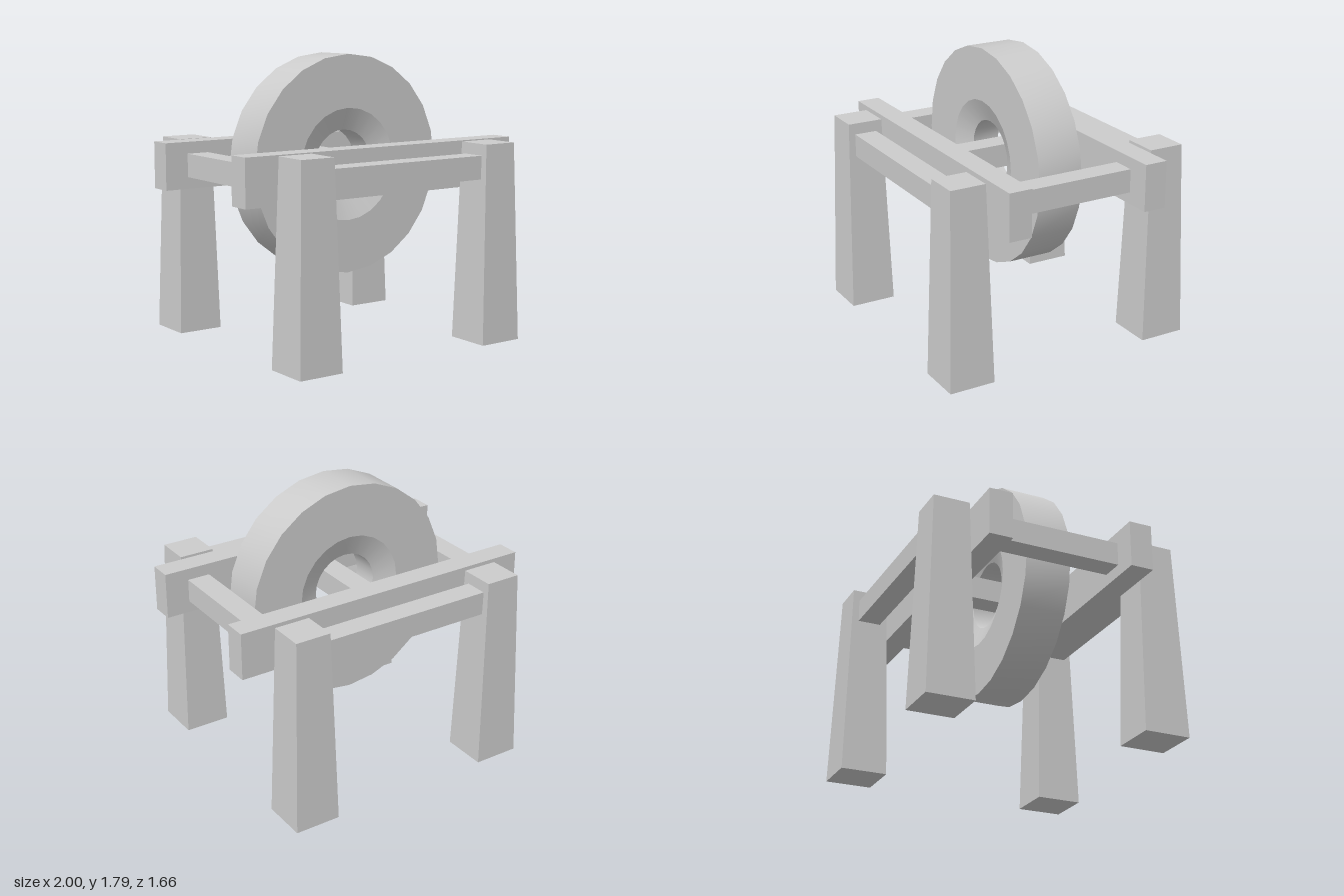
import * as THREE from 'three';
import { toCreasedNormals } from 'three/addons/utils/BufferGeometryUtils.js';

const material = new THREE.MeshStandardMaterial({ color: 0xcccccc });

export function createModel() {
  const model = new THREE.Group();
  model.name = 'wheelStand';

  function add(name, geometry, x, y, z) {
    const mesh = new THREE.Mesh(geometry, material);
    mesh.name = name;
    mesh.position.set(x, y, z);
    model.add(mesh);
    return mesh;
  }
  const box = (name, w, h, d, x, y, z) => add(name, new THREE.BoxGeometry(w, h, d), x, y, z);

  // Tapered leg: a box with its top corners drawn in
  function legGeometry(height, base, top) {
    const g = new THREE.BoxGeometry(base, height, base);
    const p = g.attributes.position;
    for (let i = 0; i < p.count; i++) {
      if (p.getY(i) > 0) p.setXYZ(i, p.getX(i) * top / base, p.getY(i), p.getZ(i) * top / base);
    }
    g.computeVertexNormals();
    return g;
  }

  const axleY = 1.105;
  const barSize = 0.147;

  // Legs, long beams and short rails, mirrored front to back
  for (const [end, s] of [['front', 1], ['back', -1]]) {
    for (const [side, t] of [['Left', 1], ['Right', -1]]) {
      add(end + side + 'Leg', legGeometry(1.25, 0.295, 0.227), t * 0.684, 0.625, s * 0.684);
    }
    box(end + 'Beam', 2, 0.295, barSize, 0, axleY, s * 0.462);
    box(end + 'Rail', 1.146, barSize, barSize, 0, axleY, s * 0.684);
  }

  // Cross bars joining the beams; the middle one is the wheel's axle
  for (const [name, x] of [['rightCrossBar', -0.773], ['axle', 0], ['leftCrossBar', 0.773]]) {
    box(name, barSize, barSize, 0.778, x, axleY, 0);
  }

  // Wheel: closed ring profile with a funnelled hole on both faces
  const profile = [
    [0.215, -0.09], [0.355, -0.147], [0.69, -0.147],
    [0.69, 0.147], [0.355, 0.147], [0.215, 0.09], [0.215, -0.09],
  ].map(([r, h]) => new THREE.Vector2(r, h));
  const ring = toCreasedNormals(new THREE.LatheGeometry(profile, 24), 0.32);
  add('wheel', ring, 0, axleY, 0).rotation.x = Math.PI / 2;

  return model;
}
